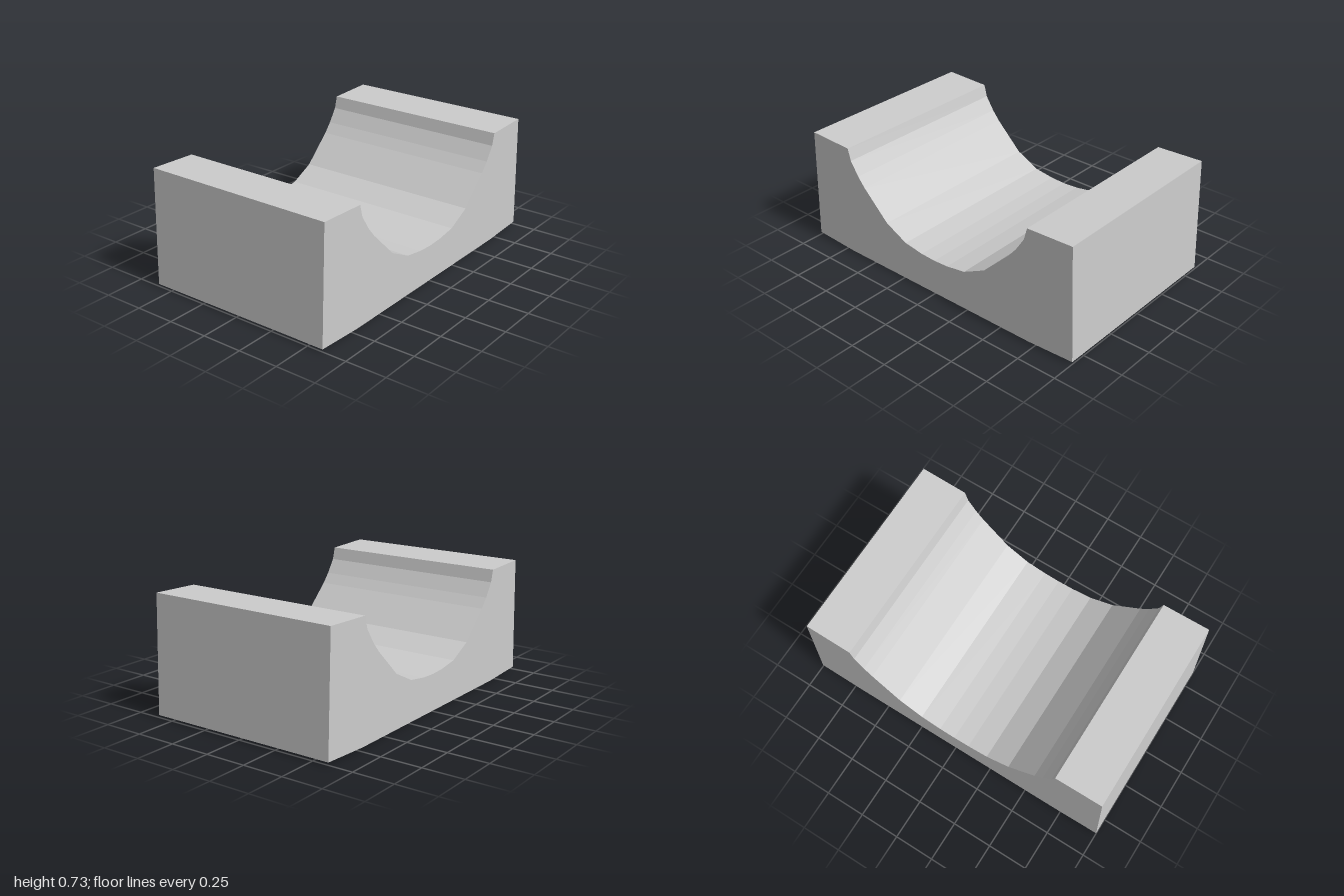
import * as THREE from 'three';

const HALF_DEPTH = 0.6;

export function createModel() {
  const group = new THREE.Group();
  const material = new THREE.MeshStandardMaterial({
    color: 0xcccccc, flatShading: true, side: THREE.DoubleSide,
  });
  const add = (name, geometry) => {
    const mesh = new THREE.Mesh(geometry, material);
    mesh.name = name;
    group.add(mesh);
    return mesh;
  };

  // Sheet swept from front to back along a line of [x, y] points
  const sheet = (points) => {
    const pos = [];
    for (let i = 0; i < points.length - 1; i++) {
      const [ax, ay] = points[i], [bx, by] = points[i + 1], d = HALF_DEPTH;
      pos.push(ax, ay, d, bx, by, d, bx, by, -d);
      pos.push(ax, ay, d, bx, by, -d, ax, ay, -d);
    }
    const g = new THREE.BufferGeometry();
    g.setAttribute('position', new THREE.Float32BufferAttribute(pos, 3));
    g.computeVertexNormals();
    return g;
  };
  const mirror = (points) => points.map(([x, y]) => [-x, y]).reverse();

  // Cradle curve and the outer profile, right half from the centre outwards
  const halfCurve = [[0.1, 0.23], [0.23, 0.25], [0.38, 0.325], [0.555, 0.495],
    [0.605, 0.555], [0.66, 0.64], [0.68, 0.715]];
  const cradle = [...mirror(halfCurve), [0, 0.225], ...halfCurve];
  const side = [[0.68, 0.715], [0.975, 0.725], [1, 0.015], [0.7, 0]];

  add('cradle', sheet(cradle));

  // Top ledge, outer wall and bottom strip on each side
  for (const [label, points] of [['left', side], ['right', mirror(side)]]) {
    ['TopLedge', 'OuterWall', 'BottomStrip'].forEach((part, i) => {
      const k = label === 'left' ? i : 2 - i;
      add(label + part, sheet(points.slice(k, k + 2)));
    });
  }

  // Front and back end walls
  const outline = [...cradle, ...side.slice(1), ...mirror(side).slice(0, -1)];
  const wall = new THREE.Shape(outline.map(([x, y]) => new THREE.Vector2(x, y)));
  add('frontWall', new THREE.ShapeGeometry(wall)).position.z = HALF_DEPTH;
  const back = add('backWall', new THREE.ShapeGeometry(wall));
  back.rotation.y = Math.PI;
  back.position.z = -HALF_DEPTH;

  // Thin rib under the middle of the cradle; the underside is otherwise open
  add('centreRib', sheet([[0, 0], [0, 0.225]]));

  return group;
}
